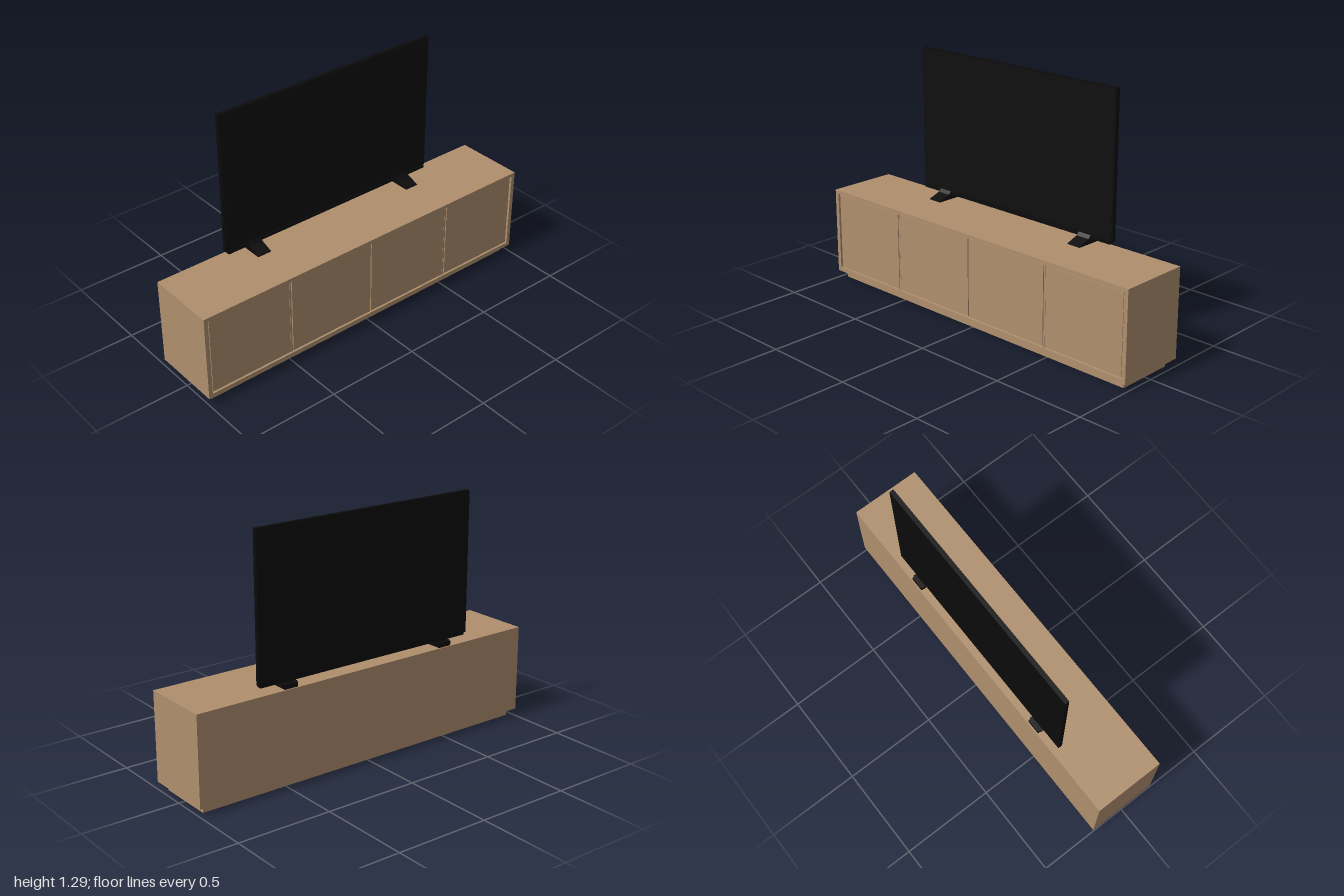
import * as THREE from 'three';

export function createModel() {
  const model = new THREE.Group();
  const wood = new THREE.MeshStandardMaterial({ color: 0xb08f6e });
  wood.name = 'oak';
  const black = new THREE.MeshStandardMaterial({ color: 0x0b0b0b });
  black.name = 'black plastic';
  const glass = new THREE.MeshStandardMaterial({ color: 0x0f0f0f });
  glass.name = 'dark glass';

  function add(parent, name, geometry, material) {
    const mesh = new THREE.Mesh(geometry, material);
    mesh.name = name;
    parent.add(mesh);
    return mesh;
  }
  // Box given by its lowest and highest coordinates
  function box(parent, name, material, [x0, x1], [y0, y1], [z0, z1]) {
    const mesh = add(parent, name, new THREE.BoxGeometry(x1 - x0, y1 - y0, z1 - z0), material);
    mesh.position.set((x0 + x1) / 2, (y0 + y1) / 2, (z0 + z1) / 2);
    return mesh;
  }
  function rectangle(path, x0, x1, y0, y1) {
    path.moveTo(x0, y0);
    path.lineTo(x1, y0);
    path.lineTo(x1, y1);
    path.lineTo(x0, y1);
    path.closePath();
    return path;
  }

  // Cabinet: recessed plinth, body, and a front frame around four doors
  const cabinet = new THREE.Group();
  cabinet.name = 'cabinet';
  model.add(cabinet);
  box(cabinet, 'plinth', wood, [-0.965, 0.965], [0, 0.04], [-0.155, 0.155]);
  box(cabinet, 'body', wood, [-1, 1], [0.04, 0.505], [-0.19, 0.168]);

  const outline = rectangle(new THREE.Shape(), -1, 1, 0.04, 0.505);
  outline.holes.push(rectangle(new THREE.Path(), -0.978, 0.978, 0.062, 0.486));
  const frame = new THREE.ExtrudeGeometry(outline, { depth: 0.022, bevelEnabled: false });
  add(cabinet, 'frontFrame', frame, wood).position.z = 0.168;

  for (const [x0, x1] of [[-0.971, -0.511], [-0.495, -0.003], [0.003, 0.495], [0.511, 0.971]]) {
    box(cabinet, 'door', wood, [x0, x1], [0.067, 0.481], [0.168, 0.184]);
  }
  for (const side of [-1, 1]) {
    const x = side * 0.503;
    box(cabinet, 'divider', wood, [x - 0.005, x + 0.005], [0.062, 0.486], [0.168, 0.182]);
  }

  // Television: thin panel, glass front and lower bar
  const television = new THREE.Group();
  television.name = 'television';
  model.add(television);
  box(television, 'panel', black, [-0.643, 0.643], [0.543, 1.29], [-0.158, -0.136]);
  box(television, 'screen', glass, [-0.637, 0.637], [0.553, 1.284], [-0.136, -0.134]);
  box(television, 'lowerBar', black, [-0.632, 0.632], [0.531, 0.545], [-0.156, -0.128]);

  // Feet: sloping toe in front, low heel behind and a short neck under the panel
  const profile = new THREE.Shape();
  [[-0.05, 0.505], [-0.183, 0.505], [-0.183, 0.528], [-0.158, 0.528], [-0.158, 0.548],
    [-0.13, 0.548], [-0.115, 0.532], [-0.05, 0.509]].forEach(([z, y], i) => {
    if (i) profile.lineTo(-z, y);
    else profile.moveTo(-z, y);
  });
  profile.closePath();
  for (const side of [-1, 1]) {
    const geometry = new THREE.ExtrudeGeometry(profile, { depth: 0.076, bevelEnabled: false });
    geometry.translate(0, 0, -0.038);
    geometry.rotateY(Math.PI / 2);
    add(television, 'foot', geometry, black).position.x = side * 0.478;
    box(television, 'footBracket', black, [side * 0.478 - 0.043, side * 0.478 + 0.043],
      [0.512, 0.53], [-0.17, -0.122]);
  }
  return model;
}
